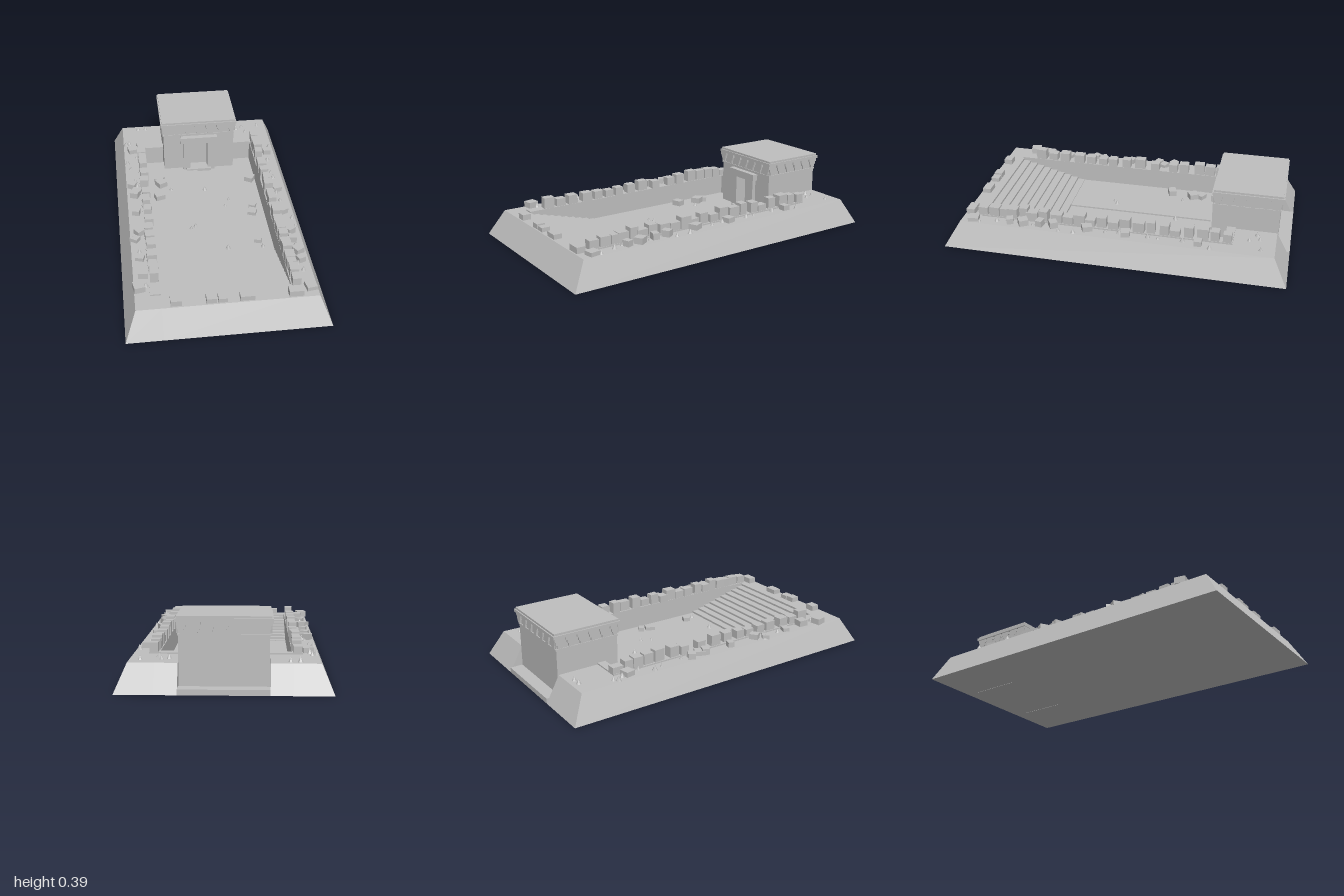
import * as THREE from 'three';

const stone = new THREE.MeshStandardMaterial({ color: 0xbebebe, flatShading: true });
stone.name = 'grey stone';

// Small seeded random for masonry irregularity
let seed = 7;
const rand = (a, b) => {
  seed = (seed * 16807) % 2147483647;
  return a + (b - a) * (seed / 2147483647);
};

function add(parent, name, geometry) {
  const m = new THREE.Mesh(geometry, stone);
  m.name = name;
  parent.add(m);
  return m;
}

// Box given by its limits
function block(parent, name, x0, x1, y0, y1, z0, z1) {
  const m = add(parent, name, new THREE.BoxGeometry(x1 - x0, y1 - y0, z1 - z0));
  m.position.set((x0 + x1) / 2, (y0 + y1) / 2, (z0 + z1) / 2);
  return m;
}

// Box whose bottom and top rectangles [x0, x1, z0, z1] differ
function tapered(parent, name, bottom, top, y0, y1) {
  const g = new THREE.BoxGeometry(1, 1, 1);
  const p = g.attributes.position;
  for (let i = 0; i < p.count; i++) {
    const up = p.getY(i) > 0;
    const r = up ? top : bottom;
    p.setXYZ(i, p.getX(i) < 0 ? r[0] : r[1], up ? y1 : y0, p.getZ(i) < 0 ? r[2] : r[3]);
  }
  g.computeVertexNormals();
  return add(parent, name, g);
}

const TOP = 0.15, RIM = 0.158, FLOOR = 0.026;
const COURT = { x: 0.355, back: -0.63, front: 0.805 };

function buildGround() {
  const g = new THREE.Group();
  g.name = 'ground';
  const { x, back, front } = COURT;
  // Sloped embankment around the sunken court
  tapered(g, 'leftBank', [x, 0.56, -1, 1], [x, 0.497, -0.92, 0.913], 0, TOP);
  tapered(g, 'rightBank', [-0.56, -x, -1, 1], [-0.497, -x, -0.92, 0.913], 0, TOP);
  tapered(g, 'frontBank', [-x, x, front, 1], [-x, x, front, 0.913], 0, TOP);
  for (const s of [-1, 1]) {
    const a = Math.min(s * 0.236, s * x), b = Math.max(s * 0.236, s * x);
    tapered(g, 'backBank', [a, b, -1, back], [a, b, -0.92, back], 0, TOP);
  }
  // Court floor, one half slightly higher
  block(g, 'courtFloor', -x, x, 0, FLOOR, back, front);
  block(g, 'raisedPaving', -x, -0.015, FLOOR, FLOOR + 0.009, back, 0.39);
  // Broad stair
  const n = 9, tread = (front - 0.385) / n, rise = (TOP - FLOOR) / (n + 1);
  for (let i = 0; i < n; i++) {
    block(g, 'step', -x, x, FLOOR - 0.01, FLOOR + rise * (i + 1), 0.385 + i * tread, front);
  }
  // Low kerb around the court
  for (const s of [-1, 1]) {
    const a = Math.min(s * x, s * 0.413), b = Math.max(s * x, s * 0.413);
    block(g, 'kerb', a, b, TOP - 0.01, RIM, -0.68, 0.81);
    const c = Math.min(s * 0.23, s * x), d = Math.max(s * 0.23, s * x);
    block(g, 'backKerb', c, d, TOP - 0.01, RIM, -0.68, back);
  }
  return g;
}

function buildTemple() {
  const g = new THREE.Group();
  g.name = 'temple';
  const w = 0.233, back = -0.925, front = -0.55;
  block(g, 'body', -w, w, 0, 0.38, back, front - 0.05);
  block(g, 'backLedge', -0.236, 0.236, 0, 0.03, -1, back);
  // Front wall with doorway
  const wall = new THREE.Shape([[-w, 0], [w, 0], [w, 0.38], [-w, 0.38]].map(p => new THREE.Vector2(...p)));
  wall.holes.push(new THREE.Path([[-0.06, 0.035], [-0.06, 0.235], [0.058, 0.235], [0.058, 0.035]].map(p => new THREE.Vector2(...p))));
  add(g, 'frontWall', new THREE.ExtrudeGeometry(wall, { depth: 0.05, bevelEnabled: false })).position.z = front - 0.05;
  // Door surround and threshold
  block(g, 'doorJamb', -0.105, -0.06, 0.02, 0.24, front, -0.526);
  block(g, 'doorJamb', 0.058, 0.103, 0.02, 0.24, front, -0.526);
  block(g, 'lintel', -0.105, 0.103, 0.235, 0.25, front, -0.526);
  block(g, 'doorCornice', -0.122, 0.12, 0.245, 0.285, front, -0.516);
  block(g, 'threshold', -0.085, 0.08, 0.02, 0.045, front, -0.508);
  // Moulding, cornice and roof
  block(g, 'moulding', -0.238, 0.238, 0.292, 0.301, back - 0.005, front + 0.005);
  block(g, 'cornice', -0.25, 0.25, 0.365, 0.382, -0.945, -0.536);
  block(g, 'roof', -0.243, 0.243, 0.38, 0.394, -0.938, -0.543);
  // Hanging stepped corbels on all four faces
  const corbel = new THREE.ExtrudeGeometry(new THREE.Shape([
    [-0.012, 0.305], [0.012, 0.305], [0.014, 0.325], [0.02, 0.325], [0.022, 0.345], [0.028, 0.345], [0.028, 0.366],
    [-0.028, 0.366], [-0.028, 0.345], [-0.022, 0.345], [-0.02, 0.325], [-0.014, 0.325],
  ].map(p => new THREE.Vector2(...p))), { depth: 0.011, bevelEnabled: false });
  const midZ = (back + front) / 2, halfZ = (front - back) / 2;
  const face = (angle, half, dist, count) => {
    for (let i = 0; i < count; i++) {
      const t = -half + 0.027 + ((half - 0.027) * 2 * i) / (count - 1);
      const m = add(g, 'corbel', corbel);
      m.rotation.y = angle;
      m.position.set(t, 0, dist).applyAxisAngle(new THREE.Vector3(0, 1, 0), angle);
      m.position.z += midZ;
    }
  };
  for (const a of [0, Math.PI]) face(a, 0.244, halfZ, 7);
  for (const a of [Math.PI / 2, -Math.PI / 2]) face(a, halfZ + 0.01, w, 6);
  return g;
}

// Plan positions in hundredths
const rightWall = [-65, -58, -52, -45, -38, -28, -21, -9, 1, 10, 19, 26, 34, 42, 52, 60, 68];
const leftWall = [-65, -58, -51, -43, -35, -29, -21, -14, -6, 1, 8, 15, 21, 28, 35, 43, 50, 55, 62, 67, 73, 80];
const rubble = [
  [-28, -41], [-27, -36], [-29, -22], [32, -37], [29, -7], [28, -1], [27, 27], [-44, -61], [-46, -20],
  [-44, -13], [-45, -10], [-45, 8], [-44, 27], [-47, 33], [-45, 50], [-44, 64], [-47, 75], [45, -49],
  [44, -7], [43, 16], [44, 36], [44, 44], [45, 54], [45, 62], [46, 84],
];
const shards = [
  [-39, -88], [-34, -88], [29, -81], [33, -83], [35, -77], [44, -84], [-46, -71], [-48, -69], [-45, -65],
  [-42, -53], [-48, -46], [-46, -40], [-44, -26], [-43, -20], [-21, -30], [1, -29], [15, -16], [12, -10],
  [-9, 10], [-12, 12], [8, 32], [29, 33], [48, -56], [44, -40], [44, -26], [44, -20], [43, -3], [44, 5],
  [48, 23], [48, 32], [45, 48], [43, 64], [45, 70], [48, 80], [-48, 32], [-45, 44], [-48, 74], [-43, 73],
];

function groundHeight(x, z) {
  if (Math.abs(x) >= COURT.x || z < COURT.back) return TOP;
  return FLOOR + (x < -0.015 ? 0.009 : 0);
}

function buildStones() {
  const g = new THREE.Group();
  g.name = 'looseStones';
  // Ruined parapets
  [[-0.383, rightWall], [0.384, leftWall]].forEach(([x, list]) => {
    for (const v of list) {
      const h = rand(0.04, 0.076), d = rand(0.045, 0.068);
      const m = add(g, 'parapetStone', new THREE.BoxGeometry(rand(0.046, 0.056), h, d));
      m.position.set(x + rand(-0.004, 0.004), RIM + h / 2 - 0.003, v / 100);
      m.rotation.y = rand(-0.06, 0.06);
    }
  });
  // Stones along the front edge: x, width, height
  for (const [x, w, h] of [[-0.28, 0.06, 0.033], [-0.09, 0.055, 0.03], [-0.028, 0.05, 0.025], [0.105, 0.08, 0.028], [0.37, 0.08, 0.035]]) {
    block(g, 'frontStone', x - w / 2, x + w / 2, TOP, TOP + h, 0.855, 0.905);
  }
  // Fallen blocks
  for (const [px, pz] of rubble) {
    const x = px / 100, z = pz / 100, h = rand(0.024, 0.04), s = rand(0.04, 0.06);
    const m = add(g, 'fallenBlock', new THREE.BoxGeometry(s, h, s * rand(0.8, 1.1)));
    m.position.set(x, groundHeight(x, z) + h / 2 - 0.002, z);
    m.rotation.y = rand(-0.6, 0.6);
  }
  // Small pointed shards
  const shard = new THREE.ConeGeometry(0.016, 0.03, 6);
  for (const [px, pz] of shards) {
    const x = px / 100, z = pz / 100, s = rand(0.7, 1.15);
    const m = add(g, 'shard', shard);
    m.scale.setScalar(s);
    m.position.set(x, groundHeight(x, z) + 0.014 * s, z);
    m.rotation.y = rand(0, 3);
  }
  return g;
}

export function createModel() {
  seed = 7;
  const model = new THREE.Group();
  model.name = 'sunkenCourtTemple';
  model.add(buildGround(), buildTemple(), buildStones());
  return model;
}
